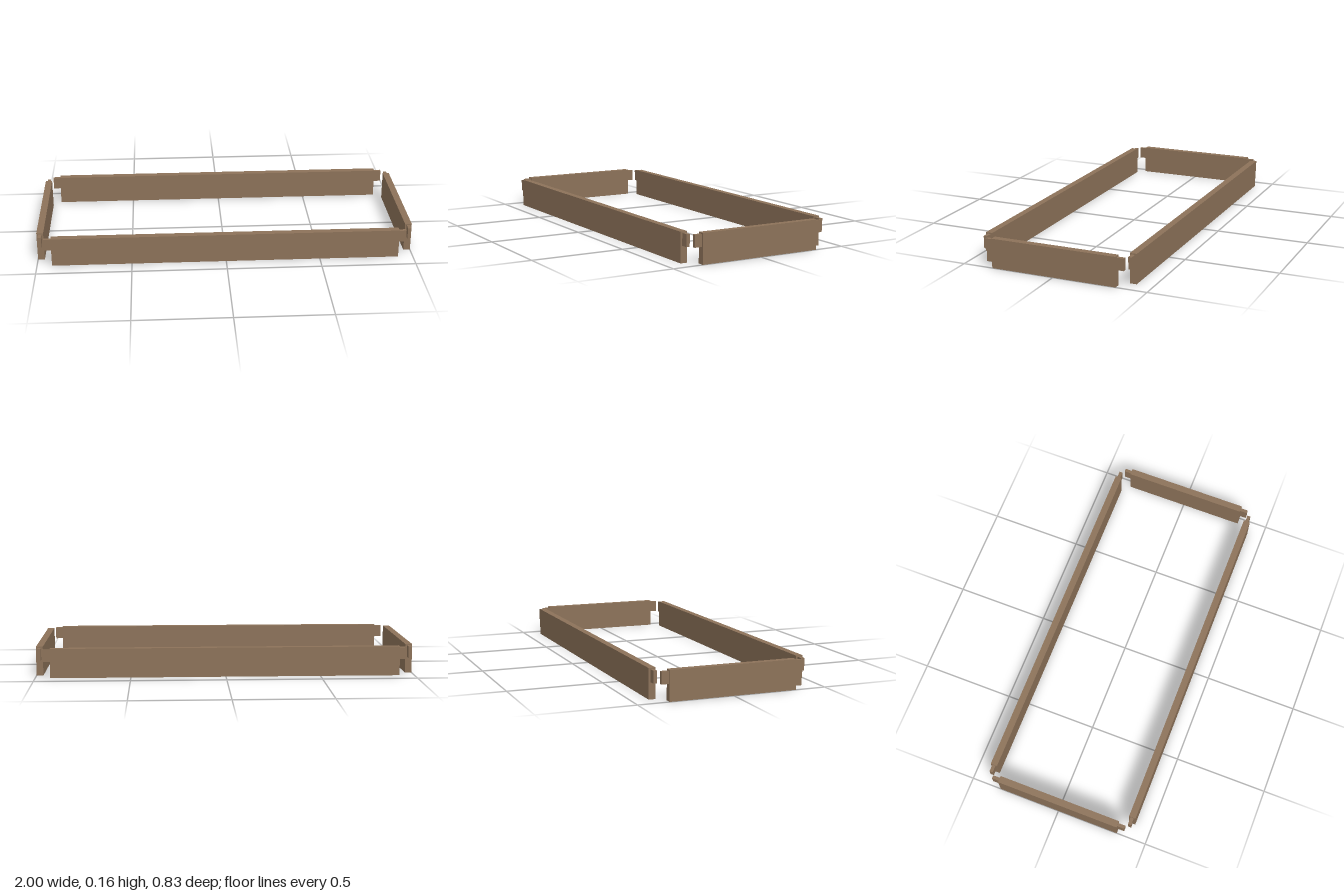
import * as THREE from 'three';

const HEIGHT = 0.155, THICK = 0.036;
const TENON = { length: 0.039, height: 0.063, thick: 0.018, y: 0.117 };

const wood = new THREE.MeshStandardMaterial({ color: 0x8c7259 });

function box(name, w, h, d, x, y) {
  const mesh = new THREE.Mesh(new THREE.BoxGeometry(w, h, d), wood);
  mesh.name = name;
  mesh.position.set(x, y, 0);
  return mesh;
}

// A board along x with a short tenon on each end
function rail(name, length) {
  const group = new THREE.Group();
  group.name = name;
  group.add(box('board', length, HEIGHT, THICK, 0, HEIGHT / 2));
  for (const side of [-1, 1]) {
    group.add(box(side > 0 ? 'tenonA' : 'tenonB', TENON.length, TENON.height, TENON.thick,
      side * (length + TENON.length) / 2, TENON.y));
  }
  return group;
}

export function createModel() {
  const model = new THREE.Group();
  model.name = 'bedFrameRails';
  for (const side of [-1, 1]) {
    // Long rails at front and back
    const long = rail(side > 0 ? 'frontRail' : 'backRail', 1.842);
    long.position.z = side * 0.395;
    // Short rails at the two ends
    const short = rail(side > 0 ? 'leftRail' : 'rightRail', 0.675);
    short.rotation.y = Math.PI / 2;
    short.position.x = side * (1 - THICK / 2);
    model.add(long, short);
  }
  return model;
}
